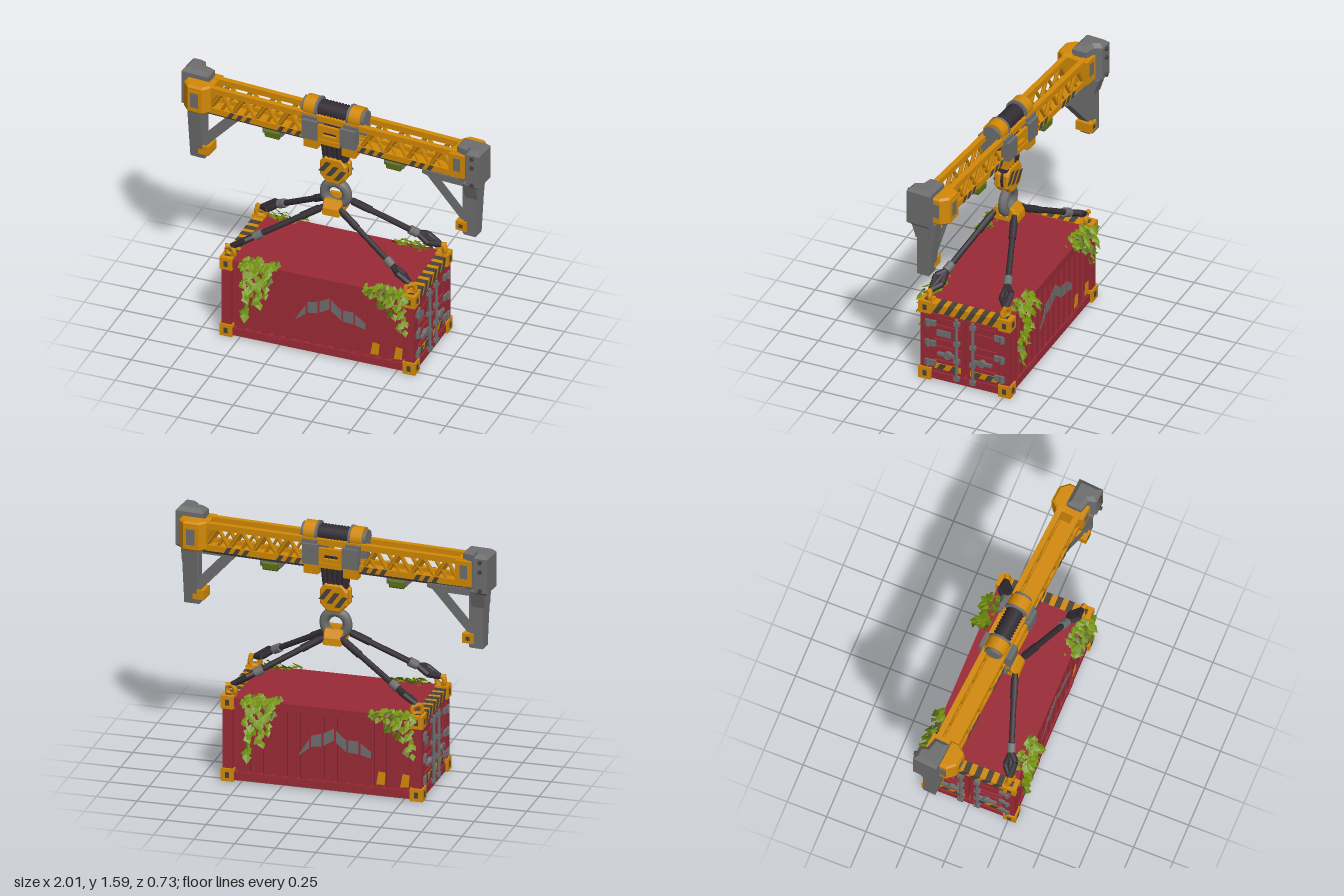
import * as THREE from 'three';
import { mergeGeometries } from 'three/addons/utils/BufferGeometryUtils.js';

const mat = (name, color, side = THREE.FrontSide) => {
  const m = new THREE.MeshStandardMaterial({ color, side });
  m.name = name;
  return m;
};
const red = mat('containerRed', 0x9a2a36), yellow = mat('craneYellow', 0xd38a06), steel = mat('steelGray', 0x6e6e6e);
const rubber = mat('cableDark', 0x332d33), brown = mat('stripeBrown', 0x4a423b);
const leafGreen = mat('leafGreen', 0x74920d, THREE.DoubleSide), moss = mat('mossGreen', 0x5c7016, THREE.DoubleSide);
const V = (x, y, z) => new THREE.Vector3(x, y, z);

function add(parent, name, geo, material, x = 0, y = 0, z = 0) {
  const m = new THREE.Mesh(geo, material);
  m.name = name;
  m.position.set(x, y, z);
  parent.add(m);
  return m;
}
// Box given by its low and high limits on each axis
function box(parent, name, material, x0, x1, y0, y1, z0, z1) {
  return add(parent, name, new THREE.BoxGeometry(x1 - x0, y1 - y0, z1 - z0), material, (x0 + x1) / 2, (y0 + y1) / 2, (z0 + z1) / 2);
}
function rod(parent, name, material, a, b, r, sides = 8) {
  const d = b.clone().sub(a), mid = a.clone().add(b).multiplyScalar(0.5);
  const m = add(parent, name, new THREE.CylinderGeometry(r, r, d.length(), sides), material, mid.x, mid.y, mid.z);
  m.quaternion.setFromUnitVectors(V(0, 1, 0), d.normalize());
}
// Extruded polygon, optionally with one hole and a bevel
function prism(pts, depth, hole, bevel = 0) {
  const s = new THREE.Shape(pts.map(p => new THREE.Vector2(...p)));
  if (hole) s.holes.push(new THREE.Path(hole.map(p => new THREE.Vector2(...p))));
  return new THREE.ExtrudeGeometry(s, { depth, bevelEnabled: bevel > 0, bevelSize: bevel, bevelThickness: bevel, bevelOffset: -bevel, bevelSegments: 1 });
}
// Row of slanted warning stripes facing +z
function stripes(parent, x, y, z, w, h, n) {
  const g = new THREE.Group(), p = w / n, s = Math.min(h * 0.6, p * 0.5);
  g.name = 'warningStripes';
  for (let i = 0; i < n; i++) {
    const c = -w / 2 + p * (i + 0.5);
    add(g, 'stripe', prism([[c - p / 4 - s / 2, -h / 2], [c + p / 4 - s / 2, -h / 2], [c + p / 4 + s / 2, h / 2], [c - p / 4 + s / 2, h / 2]], 0.004), brown);
  }
  g.position.set(x, y, z);
  parent.add(g);
  return g;
}
// Makes a part and its copy turned half way round the vertical axis
function twin(parent, name, build) {
  for (const turn of [0, Math.PI]) {
    const g = new THREE.Group();
    g.name = name;
    g.rotation.y = turn;
    build(g);
    parent.add(g);
  }
}

function ivy(parent, strands, seed) {
  const rnd = () => (seed = (seed * 16807) % 2147483647) / 2147483647;
  const sets = [[], []];
  const leaf = (x, y, z, tilt) => {
    const g = new THREE.BufferGeometry(), s = 0.85 + rnd() * 0.55;
    g.setAttribute('position', new THREE.Float32BufferAttribute([0, 0.02, 0, -0.021, 0, -0.004, 0, -0.03, 0.006, 0, 0.02, 0, 0, -0.03, 0.006, 0.021, 0, -0.004], 3));
    g.computeVertexNormals();
    g.scale(s, s, s).rotateZ(rnd() * 1.6 - 0.8).rotateX(tilt).rotateY(rnd() * 1.6 - 0.8).translate(x, y, z);
    sets[rnd() < 0.85 ? 0 : 1].push(g);
  };
  for (const [x, low] of strands) {
    for (let y = 0.515; y > low; y -= 0.023) leaf(x + (rnd() - 0.5) * 0.045, y, 0.288 + rnd() * (y > 0.38 ? 0.045 : 0.02), -0.2 - rnd() * 0.6);
    for (let i = 0; i < 7; i++) leaf(x + (rnd() - 0.5) * 0.07, 0.524 + rnd() * 0.015, 0.23 + rnd() * 0.095, -1.2 + rnd() * 0.6);
  }
  sets.forEach((s, i) => add(parent, 'ivyLeaves', mergeGeometries(s), i ? moss : leafGreen));
}

function cornerCasting(parent, x, y, z) {
  const g = new THREE.Group();
  g.name = 'cornerCasting';
  g.position.set(x, y, z);
  parent.add(g);
  box(g, 'castingBlock', yellow, -0.04, 0.04, -0.04, 0.04, -0.04, 0.04);
  const sx = Math.sign(x) * 0.041, sy = y > 0.2 ? 0.041 : -0.041, sz = Math.sign(z) * 0.041;
  box(g, 'castingSlot', brown, sx - 0.002, sx + 0.002, -0.018, 0.018, -0.012, 0.012);
  box(g, 'castingSlot', brown, -0.012, 0.012, -0.018, 0.018, sz - 0.002, sz + 0.002);
  box(g, 'castingSlot', brown, -0.018, 0.018, sy - 0.002, sy + 0.002, -0.011, 0.011);
}

function containerHalf(g) {
  // Corrugated side wall
  const pitch = 0.076, n = 14, pts = [[0.56, -0.24], [-0.56, -0.24], [-0.56, -0.258]];
  const ribs = [];
  for (let i = 0; i < n; i++) {
    const c = (i - (n - 1) / 2) * pitch;
    ribs.push(c);
    pts.push([c - 0.031, -0.255], [c - 0.023, -0.276], [c + 0.023, -0.276], [c + 0.031, -0.255]);
  }
  pts.push([0.56, -0.258]);
  add(g, 'corrugatedWall', prism(pts, 0.43).rotateX(-Math.PI / 2), red, 0, 0.05, 0);
  box(g, 'topSideRail', red, -0.56, 0.56, 0.472, 0.522, 0.235, 0.284);
  box(g, 'bottomSideRail', red, -0.56, 0.56, 0.01, 0.06, 0.235, 0.284);
  for (const s of [-1, 1]) box(g, 'forkPocket', red, s * 0.27 - 0.055, s * 0.27 + 0.055, 0.025, 0.05, 0.28, 0.289);
  // Worn gray patch, one plate for each rib
  const line = [[-0.13, 0.22, 0.24], [-0.07, 0.27, 0.34], [0, 0.28, 0.36], [0.07, 0.325, 0.4], [0.14, 0.26, 0.33], [0.2, 0.26, 0.35], [0.28, 0.24, 0.29]];
  const at = (x, k) => {
    let i = 1;
    while (i < line.length - 1 && line[i][0] < x) i++;
    const a = line[i - 1], b = line[i];
    return a[k] + (b[k] - a[k]) * (x - a[0]) / (b[0] - a[0]);
  };
  for (const c of ribs) if (c > -0.12 && c < 0.27) {
    const a = c - 0.032, b = c + 0.032;
    add(g, 'wornPatch', prism([[a, at(a, 1)], [b, at(b, 1)], [b, at(b, 2)], [a, at(a, 2)]], 0.003), steel, 0, 0, 0.275);
  }
  for (const x of [0.36, 0.508]) add(g, 'yellowPatch', prism([[x - 0.03, 0.075], [x + 0.022, 0.08], [x + 0.028, 0.155], [x - 0.015, 0.16]], 0.003), yellow, 0, 0, 0.275);
  // End frame and corners
  for (const s of [-1, 1]) {
    box(g, 'cornerPost', red, 0.55, 0.612, 0.05, 0.5, s * 0.257 - 0.03, s * 0.257 + 0.03);
    for (const y of [0.042, 0.5]) cornerCasting(g, 0.582, y, s * 0.258);
  }
  box(g, 'doorSill', red, 0.56, 0.61, 0.01, 0.058, -0.23, 0.23);
  box(g, 'doorHeader', yellow, 0.545, 0.612, 0.472, 0.53, -0.22, 0.22);
  stripes(g, 0.612, 0.501, 0, 0.42, 0.056, 6).rotation.y = Math.PI / 2;
  for (let i = 0; i < 6; i++) {
    const z = 0.16 - i * 0.07;
    box(g, 'headerTopStripe', brown, 0.545, 0.614, 0.529, 0.533, z - 0.0175, z + 0.0175);
  }
  // Doors with panels, hinges and lock rods
  for (const s of [-1, 1]) {
    const d = new THREE.Group();
    d.name = 'door';
    g.add(d);
    const zb = (name, m, x0, x1, y0, y1, a, b) => box(d, name, m, x0, x1, y0, y1, Math.min(s * a, s * b), Math.max(s * a, s * b));
    zb('doorPanel', red, 0.56, 0.59, 0.06, 0.457, 0.01, 0.228);
    for (const [a, b] of [[0.01, 0.03], [0.205, 0.228]]) zb('doorStile', red, 0.59, 0.604, 0.06, 0.457, a, b);
    for (const y of [0.06, 0.12, 0.215, 0.265, 0.36, 0.437]) zb('doorRail', red, 0.59, 0.602, y, y + 0.02, 0.03, 0.205);
    zb('raisedPanel', red, 0.59, 0.598, 0.385, 0.43, 0.07, 0.19);
    zb('warningBand', yellow, 0.59, 0.604, 0.08, 0.118, 0.03, 0.2);
    stripes(d, 0.604, 0.099, s * 0.115, 0.16, 0.038, 2).rotation.y = Math.PI / 2;
    for (const y of [0.12, 0.255, 0.395]) {
      zb('hinge', steel, 0.6, 0.618, y - 0.018, y + 0.018, 0.19, 0.26);
      rod(d, 'hingePin', steel, V(0.615, y - 0.024, s * 0.24), V(0.615, y + 0.024, s * 0.24), 0.013);
    }
    rod(d, 'lockRod', steel, V(0.618, 0.035, s * 0.052), V(0.618, 0.462, s * 0.052), 0.011);
    for (const y of [0.05, 0.17, 0.29, 0.43]) zb('rodBracket', steel, 0.6, 0.629, y - 0.012, y + 0.012, 0.034, 0.07);
    zb('lockHandle', steel, 0.604, 0.622, 0.186, 0.204, 0.06, 0.175);
    rod(d, 'lockHub', steel, V(0.6, 0.195, s * 0.11), V(0.626, 0.195, s * 0.11), 0.025, 10);
  }
  box(g, 'doorPlate', steel, 0.59, 0.599, 0.305, 0.345, 0.1, 0.19);
  ivy(g, [[-0.46, 0.15], [-0.42, 0.32], [-0.385, 0.24], [-0.345, 0.32], [-0.305, 0.43]], 71);
  ivy(g, [[0.33, 0.49], [0.39, 0.45], [0.44, 0.42], [0.49, 0.38], [0.54, 0.28]], 913);
  // Slings and shackles
  for (const s of [-1, 1]) {
    const a = V(0.05, 0.89, s * 0.065), b = V(0.565, 0.595, s * 0.24), p = t => a.clone().lerp(b, t);
    rod(g, 'slingRope', rubber, a, b, 0.018);
    rod(g, 'slingSleeve', rubber, p(0.05), p(0.25), 0.023);
    rod(g, 'slingCoupling', steel, p(0.67), p(0.76), 0.028, 8);
    for (const o of [-1, 1]) {
      const side = V(-0.012 * o, 0.016 * o, s * 0.026 * o);
      rod(g, 'slingLoop', rubber, p(0.76), p(0.87).add(side), 0.019);
      rod(g, 'slingLoop', rubber, p(0.87).add(side), b, 0.019);
    }
    add(g, 'shackle', new THREE.TorusGeometry(0.03, 0.015, 6, 14), yellow, 0.572, 0.563, s * 0.245).rotation.y = s * 0.35;
    rod(g, 'shacklePin', yellow, V(0.535, 0.594, s * 0.228), V(0.605, 0.594, s * 0.25), 0.015);
  }
}

function craneHalf(g) {
  // Lattice side
  for (const [y, z] of [[1.35, 0.046], [1.487, 0.038]]) box(g, 'beamChord', yellow, -0.85, 0.85, y - 0.02, y + 0.017, z, 0.072);
  for (const s of [-1, 1]) for (let i = 0; i < 8; i++) {
    const x = s * (0.2 + i * 0.075), x2 = x + s * 0.075, y = [1.36, 1.48];
    rod(g, 'latticeBar', yellow, V(x, y[i % 2], 0.057), V(x2, y[1 - i % 2], 0.057), 0.014, 4);
    if (i % 2) rod(g, 'latticeBrace', yellow, V(x, 1.36, 0.058), V(x - s * 0.035, 1.42, 0.058), 0.009, 4);
  }
  for (const x of [-0.6, -0.27, 0.27, 0.6]) stripes(g, x, 1.349, 0.072, 0.17, 0.036, 3);
  // End tower with tapered skirt
  const plan = [[0.83, 0.03], [1.005, 0.03], [1.005, -0.125], [0.92, -0.125], [0.9, -0.08], [0.83, -0.065]];
  add(g, 'endTower', prism(plan, 0.215, null, 0.024).rotateX(-Math.PI / 2), steel, 0, 1.325, 0);
  add(g, 'towerSkirt', prism([[0.02, 1.325], [-0.115, 1.325], [-0.08, 1.215], [0, 1.215]], 0.085).rotateY(Math.PI / 2), steel, 0.89, 0, 0);
  for (const y of [1.34, 1.46, 1.52]) rod(g, 'towerBolt', brown, V(0.96, y, 0.115), V(0.96, y, 0.138), 0.013, 8);
  // Yellow end block with chamfered corners and windows
  const blockPlan = [[0.79, 0.02], [0.79, 0.075], [0.825, 0.12], [0.92, 0.12], [0.965, 0.075], [0.965, 0.02]];
  add(g, 'endBlock', prism(blockPlan, 0.16, null, 0.012).rotateX(-Math.PI / 2), yellow, 0, 1.342, 0);
  box(g, 'blockWindow', steel, 0.845, 0.9, 1.37, 1.47, -0.124, -0.119);
  box(g, 'blockWindow', steel, 0.964, 0.97, 1.385, 1.475, -0.073, -0.03);
  add(g, 'windowFrame', prism([[0.83, 1.355], [0.915, 1.355], [0.915, 1.485], [0.83, 1.485]], 0.01, [[0.845, 1.37], [0.9, 1.37], [0.9, 1.47], [0.845, 1.47]]), yellow, 0, 0, -0.127);
  box(g, 'innerFrame', yellow, 0.79, 0.89, 1.345, 1.5, -0.03, 0.095);
  box(g, 'innerWindow', steel, 0.82, 0.865, 1.39, 1.475, 0.093, 0.099);
  // Support leg with diagonal brace
  const bracket = [[0.6, 1.318], [0.97, 1.318], [0.96, 0.97], [0.945, 0.953], [0.868, 0.953], [0.862, 1.04], [0.635, 1.285], [0.6, 1.295]];
  add(g, 'supportLeg', prism(bracket, 0.06, [[0.73, 1.275], [0.868, 1.275], [0.868, 1.125]]), steel, 0, 0, 0.005);
  add(g, 'legCore', prism([[0.045, 1.32], [-0.08, 1.32], [-0.08, 0.955], [0, 0.955]], 0.08).rotateY(Math.PI / 2), steel, 0.88, 0, 0);
  box(g, 'legFoot', yellow, 0.835, 0.905, 0.985, 1.045, -0.008, 0.095);
  box(g, 'footBolt', brown, 0.857, 0.883, 1.003, 1.027, 0.094, 0.098);
  // Mossy lamp
  box(g, 'lampHousing', steel, 0.335, 0.465, 1.27, 1.315, -0.04, 0.04);
  add(g, 'lampMoss', prism([[0.345, 1.3], [0.455, 1.3], [0.445, 1.25], [0.355, 1.25]], 0.092, null, 0.008), moss, 0, 0, -0.046);
  // Trolley
  for (const s of [-1, 1]) {
    box(g, 'trolleyBox', steel, s * 0.125 - 0.05, s * 0.125 + 0.05, 1.35, 1.475, 0.05, 0.105);
    box(g, 'trolleyClamp', yellow, s * 0.125 - 0.045, s * 0.125 + 0.045, 1.285, 1.352, 0.03, 0.09);
  }
  add(g, 'trolleyFrame', prism([[-0.08, 1.355], [0.08, 1.355], [0.08, 1.455], [-0.08, 1.455]], 0.02, [[-0.045, 1.39], [0.045, 1.39], [0.045, 1.415], [-0.045, 1.415]]), yellow, 0, 0, 0.072);
  box(g, 'trolleyLip', yellow, -0.07, 0.07, 1.335, 1.365, 0.07, 0.1);
  // Winch cheeks
  rod(g, 'winchCheek', yellow, V(0.1, 1.52, 0), V(0.185, 1.52, 0), 0.068, 14);
  rod(g, 'winchFlange', steel, V(0.098, 1.52, 0), V(0.112, 1.52, 0), 0.071, 14);
  rod(g, 'winchHub', steel, V(0.18, 1.52, 0), V(0.205, 1.52, 0), 0.055, 10);
  box(g, 'winchMount', steel, 0.09, 0.185, 1.455, 1.495, -0.085, 0.085);
  // Hoist cables, hook block cheek and its stripes
  for (const x of [-0.076, -0.038, 0, 0.038, 0.076]) rod(g, 'hoistCable', rubber, V(x * 0.75, 1.18, 0.02), V(x, 1.4, 0.032), 0.018);
  const oct = [[-0.04, 1.04], [0.04, 1.04], [0.088, 1.09], [0.088, 1.175], [0.055, 1.215], [-0.055, 1.215], [-0.088, 1.175], [-0.088, 1.09]];
  add(g, 'hookBlockCheek', prism(oct, 0.02, null, 0.009), yellow, 0, 0, 0.018);
  for (const o of [-1, 0, 1]) add(g, 'hookStripe', prism([[-0.042, -0.035], [-0.008, -0.035], [0.042, 0.035], [0.008, 0.035]], 0.004), brown, o * 0.05, 1.13 - o * 0.02, 0.046);
}

export function createModel() {
  const model = new THREE.Group();
  model.name = 'craneWithContainer';

  const container = new THREE.Group();
  container.name = 'container';
  model.add(container);
  box(container, 'floor', red, -0.6, 0.6, 0.008, 0.045, -0.275, 0.275);
  box(container, 'roof', red, -0.56, 0.56, 0.49, 0.526, -0.284, 0.284);
  twin(container, 'containerHalf', containerHalf);

  const crane = new THREE.Group();
  crane.name = 'crane';
  crane.rotation.y = -0.08;
  model.add(crane);
  twin(crane, 'craneHalf', craneHalf);
  box(crane, 'beamUnderside', rubber, -0.82, 0.82, 1.312, 1.334, -0.055, 0.055);
  box(crane, 'beamDeck', yellow, -0.82, 0.82, 1.334, 1.34, -0.05, 0.05);
  rod(crane, 'hookSheave', rubber, V(0, 1.128, -0.02), V(0, 1.128, 0.02), 0.08, 16);
  // Wound drum
  const wound = [];
  for (let i = 0; i <= 20; i++) wound.push(new THREE.Vector2(i % 2 ? 0.058 : 0.047, -0.1 + i * 0.01));
  add(crane, 'cableDrum', new THREE.LatheGeometry(wound, 16), rubber, 0, 1.52, 0).rotation.z = Math.PI / 2;

  // Lifting ring and saddle
  add(model, 'liftingRing', new THREE.TorusGeometry(0.072, 0.031, 8, 20), steel, 0, 0.957, 0);
  const saddle = [[-0.088, 0.845], [-0.05, 0.838], [0.05, 0.838], [0.088, 0.845], [0.085, 0.89], [0.055, 0.935], [0.035, 0.935], [0.025, 0.88], [-0.025, 0.88], [-0.035, 0.935], [-0.055, 0.935], [-0.085, 0.89]];
  add(model, 'hookSaddle', prism(saddle, 0.1, null, 0.008).rotateY(Math.PI / 2), yellow, -0.05, 0, 0);
  return model;
}
